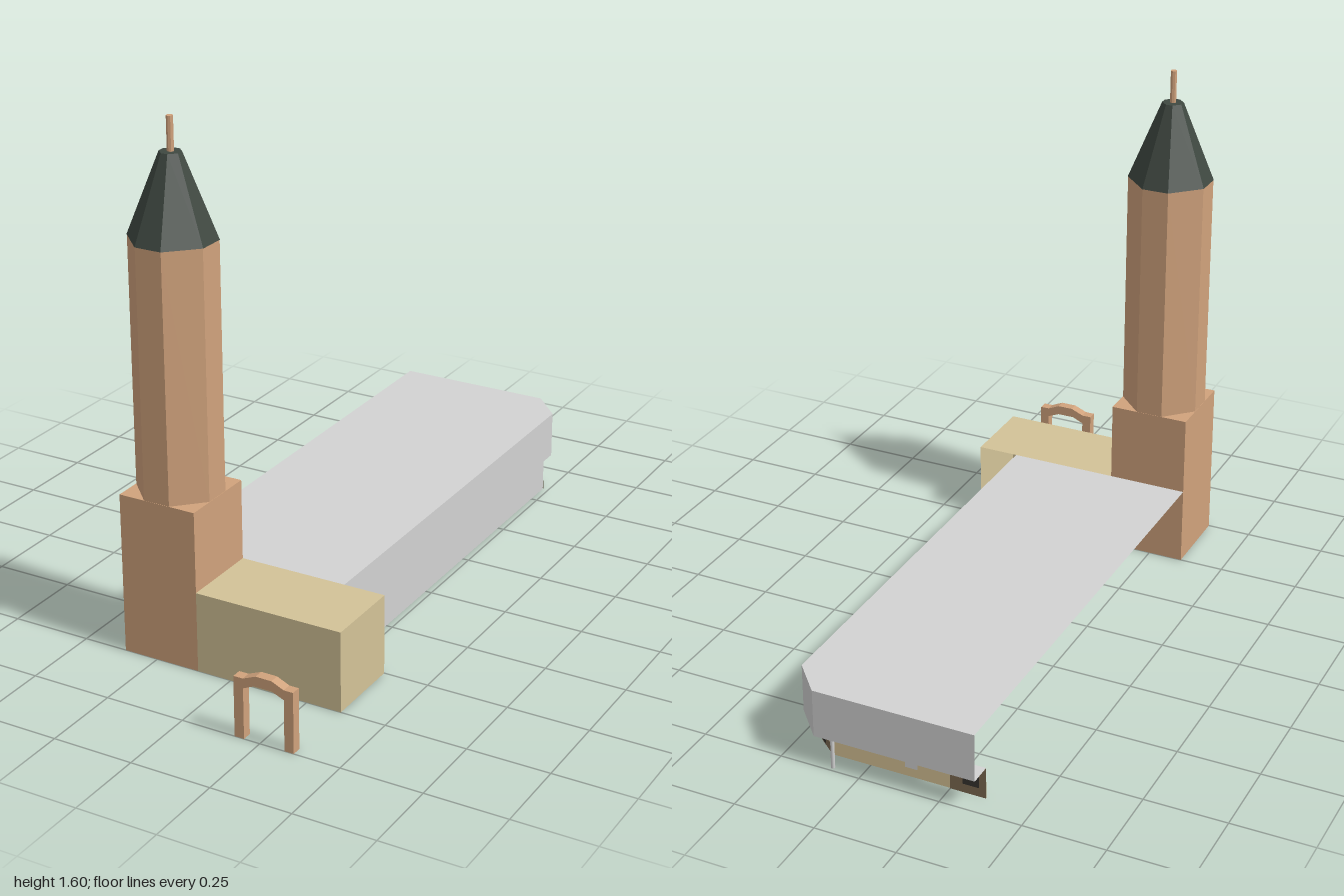
import * as THREE from 'three';

const material = (name, color) =>
  new THREE.MeshStandardMaterial({ name, color, side: THREE.DoubleSide });

export function createModel() {
  const brick = material('brick', 0xd0a27c);
  const sand = material('sand', 0xd3c398);
  const grey = material('light grey', 0xd2d2d2);
  const slate = material('dark slate', 0x3f4841);
  const cream = material('cream', 0xd8c596);
  const umber = material('umber', 0x7d6a52);
  const black = material('near black', 0x37342f);

  const model = new THREE.Group();
  model.name = 'towerBuilding';

  const add = (name, geometry, mat, parent = model) => {
    const mesh = new THREE.Mesh(geometry, mat);
    mesh.name = name;
    parent.add(mesh);
    return mesh;
  };
  const group = (name) => {
    const g = new THREE.Group();
    g.name = name;
    model.add(g);
    return g;
  };

  // Upright walls along a path of [x, z] points, outside on the right-hand side
  const wall = (path, y0, y1) => {
    const p = [];
    for (let i = 0; i + 1 < path.length; i++) {
      const [ax, az] = path[i], [bx, bz] = path[i + 1];
      p.push(ax, y0, az, bx, y0, bz, bx, y1, bz, ax, y0, az, bx, y1, bz, ax, y1, az);
    }
    const g = new THREE.BufferGeometry();
    g.setAttribute('position', new THREE.Float32BufferAttribute(p, 3));
    g.computeVertexNormals();
    return g;
  };

  // Horizontal sheet with a given [x, z] outline, facing up
  const sheet = (outline, y) => {
    const shape = new THREE.Shape(outline.map(([x, z]) => new THREE.Vector2(x, -z)));
    return new THREE.ShapeGeometry(shape).rotateX(-Math.PI / 2).translate(0, y, 0);
  };

  // Eight-sided prism with cut corners, optionally tapering to the top
  const octagon = (half, side, height, taper = 1) => {
    const pts = [[half, -side], [half, side], [side, half], [-side, half],
      [-half, side], [-half, -side], [-side, -half], [side, -half]];
    const shape = new THREE.Shape(pts.map(([x, y]) => new THREE.Vector2(x, y)));
    const g = new THREE.ExtrudeGeometry(shape, { depth: height, bevelEnabled: false });
    g.rotateX(-Math.PI / 2);
    const pos = g.attributes.position;
    for (let i = 0; i < pos.count; i++) {
      const k = 1 + (taper - 1) * pos.getY(i) / height;
      pos.setX(i, pos.getX(i) * k);
      pos.setZ(i, pos.getZ(i) * k);
    }
    g.computeVertexNormals();
    return g;
  };

  // Tower: hollow base, shaft, spire and finial
  const tower = group('tower');
  const L = -0.36, R = -0.11, F = 0.75, B = 0.5;
  add('towerBaseWalls', wall([[R, B], [L, B], [L, F], [R, F]], 0, 0.5), brick, tower);
  add('towerBaseSide', wall([[R, F], [R, B]], 0.25, 0.5), brick, tower);
  add('towerBaseTop', sheet([[L, F], [R, F], [R, B], [L, B]], 0.5), brick, tower);
  const cx = (L + R) / 2, cz = (F + B) / 2;
  add('towerShaft', octagon(0.124, 0.042, 0.755), brick, tower).position.set(cx, 0.5, cz);
  add('spire', octagon(0.125, 0.042, 0.245, 0.25), slate, tower).position.set(cx, 1.255, cz);
  add('finial', new THREE.CylinderGeometry(0.01, 0.01, 0.1, 8).toNonIndexed(), brick, tower)
    .position.set(cx, 1.55, cz);
  tower.getObjectByName('finial').geometry.computeVertexNormals();

  // Front block beside the tower, open towards the hall
  const block = group('frontBlock');
  add('frontBlockWalls', wall([[R, F], [0.36, F], [0.36, B]], 0, 0.25), sand, block);
  add('frontBlockRoof', sheet([[R, F], [0.36, F], [0.36, B], [R, B]], 0.25), sand, block);

  // Long hall with a cut back corner overhanging the ground floor
  const hall = group('hall');
  const S = 0.23;
  add('hallRoof', sheet([[L, B], [S, B], [S, -0.9], [0.14, -1], [L, -1]], 0.25), grey, hall);
  add('hallUpperWall', wall([[S, B], [S, -0.9], [0.14, -1], [L, -1]], 0.1, 0.25), grey, hall);
  add('hallLowerWall', wall([[S, B], [S, -0.84]], 0, 0.1), grey, hall);
  add('overhangSoffit',
    sheet([[S, -0.84], [S, -0.9], [0.14, -1], [L, -1], [L, -0.93], [0.12, -0.93]], 0.1), grey, hall);
  add('overhangPost', new THREE.CylinderGeometry(0.006, 0.006, 0.1, 8), grey, hall)
    .position.set(0.09, 0.05, -0.985);

  // Recessed shop front with painted panels
  const shop = group('shopFront');
  add('shopWall', wall([[S, -0.84], [0.12, -0.93], [L, -0.93]], 0, 0.1), cream, shop);
  const cut = (t, out = 0.003) => [S - 0.11 * t + out * 0.63, -0.84 - 0.09 * t - out * 0.77];
  add('entranceLintel', wall([cut(0.25), cut(0.8)], 0.068, 0.09), black, shop);
  add('entranceDoor', wall([cut(0.4), cut(0.65)], 0.005, 0.068), black, shop);
  add('entranceSill', wall([cut(0, 0.002), cut(1, 0.002)], 0, 0.03), umber, shop);
  add('backPanel', wall([[-0.25, -0.932], [L, -0.932]], 0, 0.1), umber, shop);
  add('backWindow', wall([[-0.29, -0.935], [-0.34, -0.935]], 0.03, 0.08), black, shop);
  add('backSign', wall([[-0.11, -0.933], [-0.15, -0.933]], 0.03, 0.08), grey, shop);

  // Free-standing gateway arch
  const arch = new THREE.Shape([
    [0.17, 0], [0.2, 0], [0.2, 0.157], [0.235, 0.173], [0.29, 0.173], [0.328, 0.157],
    [0.328, 0], [0.357, 0], [0.357, 0.187], [0.328, 0.187], [0.29, 0.204],
    [0.24, 0.204], [0.2, 0.187], [0.17, 0.187],
  ].map(([x, y]) => new THREE.Vector2(x, y)));
  add('gatewayArch', new THREE.ExtrudeGeometry(arch, { depth: 0.03, bevelEnabled: false }), brick)
    .position.z = 0.97;

  return model;
}
